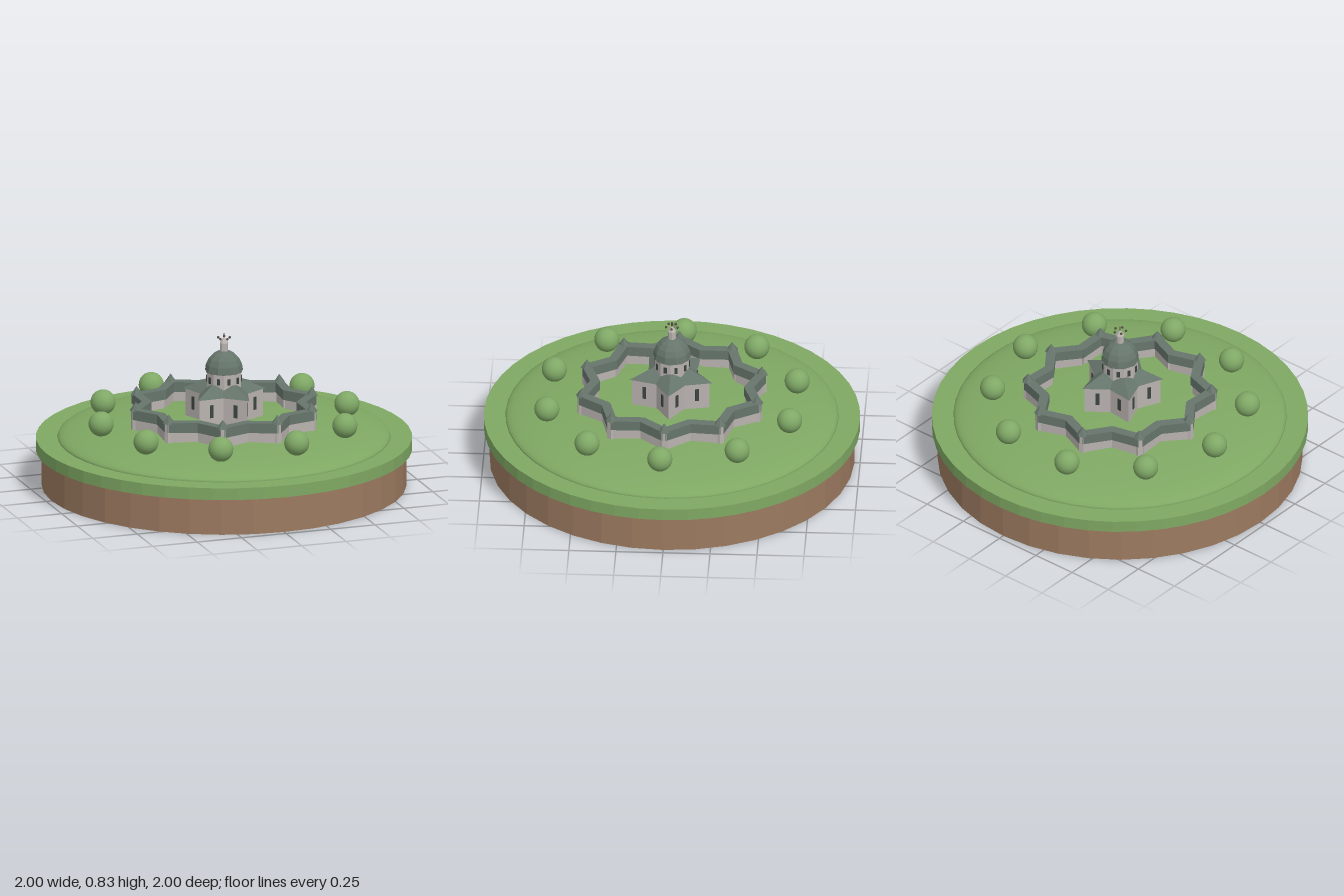
import * as THREE from 'three';

const mat = (name, color) => {
  const m = new THREE.MeshStandardMaterial({ color });
  m.name = name;
  return m;
};

export function createModel() {
  const root = new THREE.Group();
  root.name = 'hilltopChurch';
  const grass = mat('grass green', 0x7fa863);
  const leaf = mat('leaf green', 0x7fa866);
  const earth = mat('earth brown', 0x9c7a60);
  const stone = mat('pale stone', 0xb9b3af);
  const slate = mat('slate green', 0x66756b);
  const glass = mat('dark window', 0x3c4540);
  const metal = mat('dark bronze', 0x5c4f45);

  const rad = THREE.MathUtils.degToRad;
  const add = (name, geo, material, x = 0, y = 0, z = 0, ry = 0, parent = root) => {
    const m = new THREE.Mesh(geo, material);
    m.name = name;
    m.position.set(x, y, z);
    m.rotation.y = ry;
    parent.add(m);
    return m;
  };
  const flat = (geo) => {
    const g = geo.toNonIndexed();
    g.computeVertexNormals();
    return g;
  };
  const drum = (rTop, rBottom, y0, y1, sides) =>
    flat(new THREE.CylinderGeometry(rTop, rBottom, y1 - y0, sides).translate(0, (y0 + y1) / 2, 0));
  const polar = (r, deg) => new THREE.Vector2(r * Math.cos(rad(deg)), r * Math.sin(rad(deg)));
  // Place a part midway between two plan points, its x axis along them
  const between = (name, p, q, geo, material, y, parent) =>
    add(name, geo, material, (p.x + q.x) / 2, y, (p.y + q.y) / 2, -Math.atan2(q.y - p.y, q.x - p.x), parent);

  // Island
  add('earthBase', drum(0.97, 0.97, 0, 0.2, 36), earth);
  add('grassDisc', drum(1, 1, 0.2, 0.265, 48), grass);
  add('mound', new THREE.SphereGeometry(0.885, 48, 16, 0, Math.PI * 2, 0, Math.PI / 2).scale(1, 0.1 / 0.885, 1), grass, 0, 0.265, 0);

  // Ring of round trees
  const treeGeo = new THREE.SphereGeometry(0.067, 24, 16);
  for (let i = 0; i < 10; i++) {
    const p = polar(0.681, 2.7 + i * 36);
    add('tree', treeGeo, leaf, p.x, 0.39, p.y);
  }

  // Zigzag cloister with a turret on every outer corner
  const cloister = new THREE.Group();
  cloister.name = 'cloister';
  root.add(cloister);
  const turretGeo = drum(0.026, 0.026, 0.33, 0.455, 6);
  const turretRoofGeo = drum(0, 0.034, 0.45, 0.498, 6);
  const len = polar(0.49, 0).distanceTo(polar(0.41, 18));
  const wallGeo = new THREE.BoxGeometry(len, 0.09, 0.04);
  const roofGeo = new THREE.BoxGeometry(len + 0.015, 0.054, 0.05);
  for (let i = 0; i < 10; i++) {
    const a = 2 + i * 36;
    const tip = polar(0.49, a);
    add('turret', turretGeo, stone, tip.x, 0, tip.y, -rad(a), cloister);
    add('turretRoof', turretRoofGeo, slate, tip.x, 0, tip.y, -rad(a), cloister);
    for (const s of [-18, 18]) {
      const inner = polar(0.41, a + s);
      between('cloisterWall', tip, inner, wallGeo, stone, 0.37, cloister);
      between('cloisterRoof', tip, inner, roofGeo, slate, 0.43, cloister);
    }
  }

  // Star-plan church: a ten-sided drum with every other corner pulled inwards
  const church = new THREE.Group();
  church.name = 'church';
  root.add(church);
  const star = (rTop, rBottom, y0, y1, ratio) => {
    const g = new THREE.CylinderGeometry(rTop, rBottom, y1 - y0, 10);
    const p = g.attributes.position;
    for (let i = 0; i < p.count; i++) {
      const k = Math.round(Math.atan2(p.getX(i), p.getZ(i)) / rad(36));
      if (k % 2 !== 0) p.setXYZ(i, p.getX(i) * ratio, p.getY(i), p.getZ(i) * ratio);
    }
    return flat(g.translate(0, (y0 + y1) / 2, 0));
  };
  add('starWalls', star(0.217, 0.217, 0.34, 0.515, 0.58), stone, 0, 0, 0, rad(16), church);
  add('starRoof', star(0.112, 0.232, 0.513, 0.568, 0.58), slate, 0, 0, 0, rad(16), church);
  const windowGeo = new THREE.BoxGeometry(0.02, 0.07, 0.009);
  for (let i = 0; i < 5; i++) {
    const a = 2 + i * 72;
    for (const s of [-36, 36]) {
      between('wallWindow', polar(0.217, a), polar(0.217 * 0.58, a + s), windowGeo, glass, 0.445, church);
    }
  }

  // Drum with windows, faceted dome and lantern
  add('drum', drum(0.095, 0.095, 0.54, 0.635, 10), stone, 0, 0, 0, rad(16), church);
  const drumWindowGeo = new THREE.BoxGeometry(0.016, 0.034, 0.009);
  for (let i = 0; i < 10; i++) {
    const a = 2 + i * 36;
    between('drumWindow', polar(0.095, a), polar(0.095, a + 36), drumWindowGeo, glass, 0.588, church);
  }
  const domeGeo = new THREE.SphereGeometry(0.101, 10, 5, 0, Math.PI * 2, 0, Math.PI / 2).scale(1, 1.08, 1);
  add('dome', flat(domeGeo), slate, 0, 0.633, 0, rad(16), church);
  add('domeRim', drum(0.101, 0.101, 0.628, 0.634, 10), slate, 0, 0, 0, rad(16), church);
  add('lantern', drum(0.022, 0.022, 0.73, 0.783, 8), stone, 0, 0, 0, 0, church);
  add('lanternCap', drum(0.004, 0.024, 0.783, 0.812, 8), stone, 0, 0, 0, 0, church);
  add('spire', drum(0.004, 0.004, 0.81, 0.834, 6), metal, 0, 0, 0, 0, church);
  const beadGeo = new THREE.SphereGeometry(0.007, 8, 6);
  for (let i = 0; i < 5; i++) {
    const p = polar(0.032, 2 + i * 72);
    add('finialBead', beadGeo, metal, p.x, 0.81, p.y, 0, church);
  }
  return root;
}
